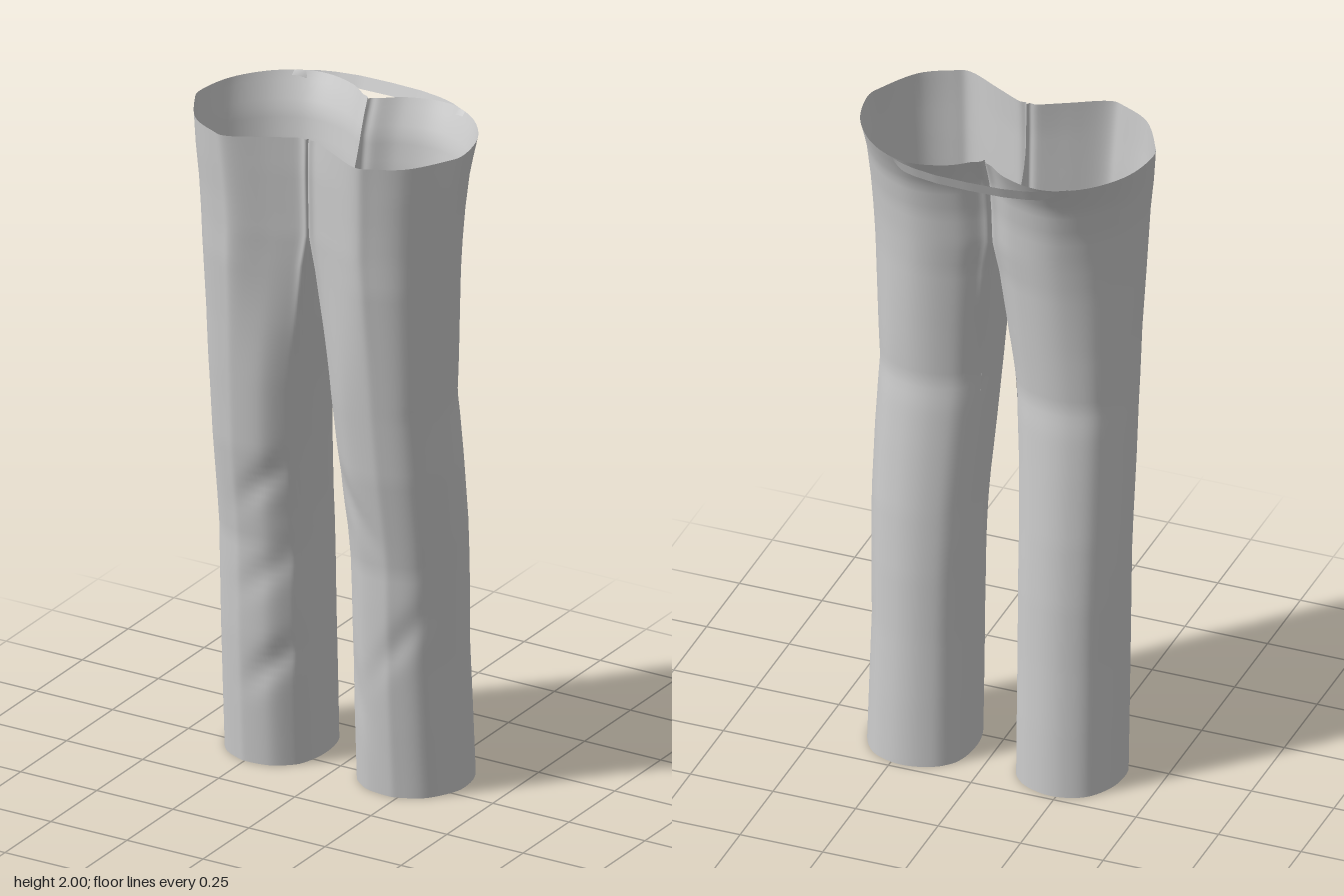
import * as THREE from 'three';

const material = new THREE.MeshStandardMaterial({ color: 0xcccccc, side: THREE.DoubleSide });

// Outline of one leg: [inner 0..outer 1, back 0..front 1], front seam round to back seam, then the inner side
const waistShape = [[0, .8], [.07, .82], [.25, .9], [.48, 1], [.6, .98], [.8, .88], [.95, .68], [1, .55], [.94, .32],
  [.78, .13], [.58, .02], [.4, 0], [.2, .05], [.07, .13], [0, .18], [0, .38], [0, .6]];
const hemShape = [[.05, .78], [.12, .87], [.28, .97], [.5, 1], [.62, .98], [.82, .88], [.96, .68], [1, .52], [.96, .3],
  [.82, .1], [.62, .01], [.42, 0], [.22, .06], [.1, .15], [.04, .24], [0, .4], [0, .6]];
const toCurve = (pts) => new THREE.CatmullRomCurve3(pts.map(([a, b]) => new THREE.Vector3(a, b, 0)), true, 'catmullrom', 0.5);
const waistCurve = toCurve(waistShape), hemCurve = toCurve(hemShape);
const POINTS = waistShape.length, BACK_SEAM = 14;

// Side profile by height: [y, value]
const front = [[0, .11], [.2, .125], [.4, .138], [.6, .145], [.7, .147], [.8, .16], [1, .19], [1.2, .21], [1.4, .23],
  [1.6, .25], [1.8, .262], [2, .277]];
const back = [[0, -.232], [.2, -.222], [.4, -.21], [.6, -.2], [.8, -.185], [1, -.165], [1.14, -.15], [1.22, -.137],
  [1.4, -.145], [1.6, -.155], [1.8, -.172], [1.9, -.19], [1.95, -.212], [2, -.238]];

// Differences between the two legs, plus cloth folds: [x, y, slope, half height, half width, depth]
const legs = [
  { name: 'leftLeg', side: 1,
    inner: [[0, .06], [.4, .065], [.6, .065], [.8, .06], [1, .047], [1.2, .035], [1.4, .025], [1.6, .014], [1.7, 0], [2, 0]],
    outer: [[0, .375], [.4, .37], [.8, .38], [1, .38], [1.2, .375], [1.4, .387], [1.6, .4], [1.8, .415], [2, .432]],
    folds: [[.13, .9, -1.4, .05, .08, -.010], [.28, .5, 1.2, .06, .09, -.008], [.12, .3, -2, .08, .05, -.006]] },
  { name: 'rightLeg', side: -1,
    inner: [[0, .085], [.4, .08], [.8, .075], [1, .065], [1.2, .05], [1.4, .03], [1.6, .015], [1.7, 0], [2, 0]],
    outer: [[0, .39], [.4, .386], [.8, .385], [1.2, .385], [1.4, .39], [1.6, .4], [1.8, .412], [2, .434]],
    folds: [[.16, .9, -.8, .05, .07, -.012], [.15, .62, -.7, .05, .08, -.010], [.15, .33, -.8, .05, .07, -.014]] },
];

function lookup(table, y) {
  let i = 1;
  while (i < table.length - 1 && table[i][0] < y) i++;
  const [y0, a] = table[i - 1], [y1, b] = table[i];
  return a + (b - a) * (y - y0) / (y1 - y0);
}

// A point on the leg surface at position t round the outline and height y
function legPoint(leg, t, y) {
  const p = hemCurve.getPoint(t).lerp(waistCurve.getPoint(t), THREE.MathUtils.smoothstep(y, 1.2, 1.75));
  const xi = lookup(leg.inner, y), xo = lookup(leg.outer, y), zf = lookup(front, y), zb = lookup(back, y);
  const x = Math.max(0, xi + (xo - xi) * p.x);
  let z = zb + (zf - zb) * p.y;
  const facing = THREE.MathUtils.smoothstep(p.y, .6, .95);
  for (const [fx, fy, slope, h, w, depth] of leg.folds) {
    const dy = (y - fy - slope * (x - fx)) / h, dx = (x - fx) / w;
    z += facing * depth * Math.exp(-dy * dy - dx * dx);
  }
  return [leg.side * x, y, z];
}

// Height of the top edge: the waist, dipping to the crotch along the inner seam
function topEdge(t) {
  const s = (t * POINTS - BACK_SEAM) / (POINTS - BACK_SEAM);
  return s <= 0 ? 2 : 2 - .31 * Math.pow(Math.max(0, Math.sin(Math.PI * s)), .4);
}

// Indexed sheet from a point rule; wraps round when closed
function sheet(name, cols, rows, closed, flip, rule) {
  const pos = [], index = [], n = closed ? cols : cols + 1;
  for (let r = 0; r <= rows; r++) for (let c = 0; c < n; c++) pos.push(...rule(c / cols, r / rows));
  for (let r = 0; r < rows; r++) {
    for (let c = 0; c < cols; c++) {
      const a = r * n + c, b = r * n + (c + 1) % n, d = a + n, e = b + n;
      if (flip) index.push(a, e, b, a, d, e);
      else index.push(a, b, e, a, e, d);
    }
  }
  const geometry = new THREE.BufferGeometry();
  geometry.setAttribute('position', new THREE.Float32BufferAttribute(pos, 3));
  geometry.setIndex(index);
  geometry.computeVertexNormals();
  const mesh = new THREE.Mesh(geometry, material);
  mesh.name = name;
  return mesh;
}

export function createModel() {
  const group = new THREE.Group();
  group.name = 'trousers';

  // Two open trouser legs meeting at the centre seam
  for (const leg of legs) {
    group.add(sheet(leg.name, POINTS * 6, 80, true, leg.side < 0, (t, v) => legPoint(leg, t, v * topEdge(t))));
  }

  // Narrow waistband strip bridging the back of both legs
  const band = [[0, -.277], [.1, -.274], [.17, -.262], [.22, -.246], [.28, -.212]];
  group.add(sheet('backWaistband', 40, 4, false, true, (u, v) => {
    const x = (u - .5) * .56, ax = Math.abs(x);
    const height = .035 * (1 - THREE.MathUtils.smoothstep(ax, .2, .28) * .7);
    return [x, 2 - height * (1 - v), lookup(band, ax) + .013 * (1 - v)];
  }));
  return group;
}
